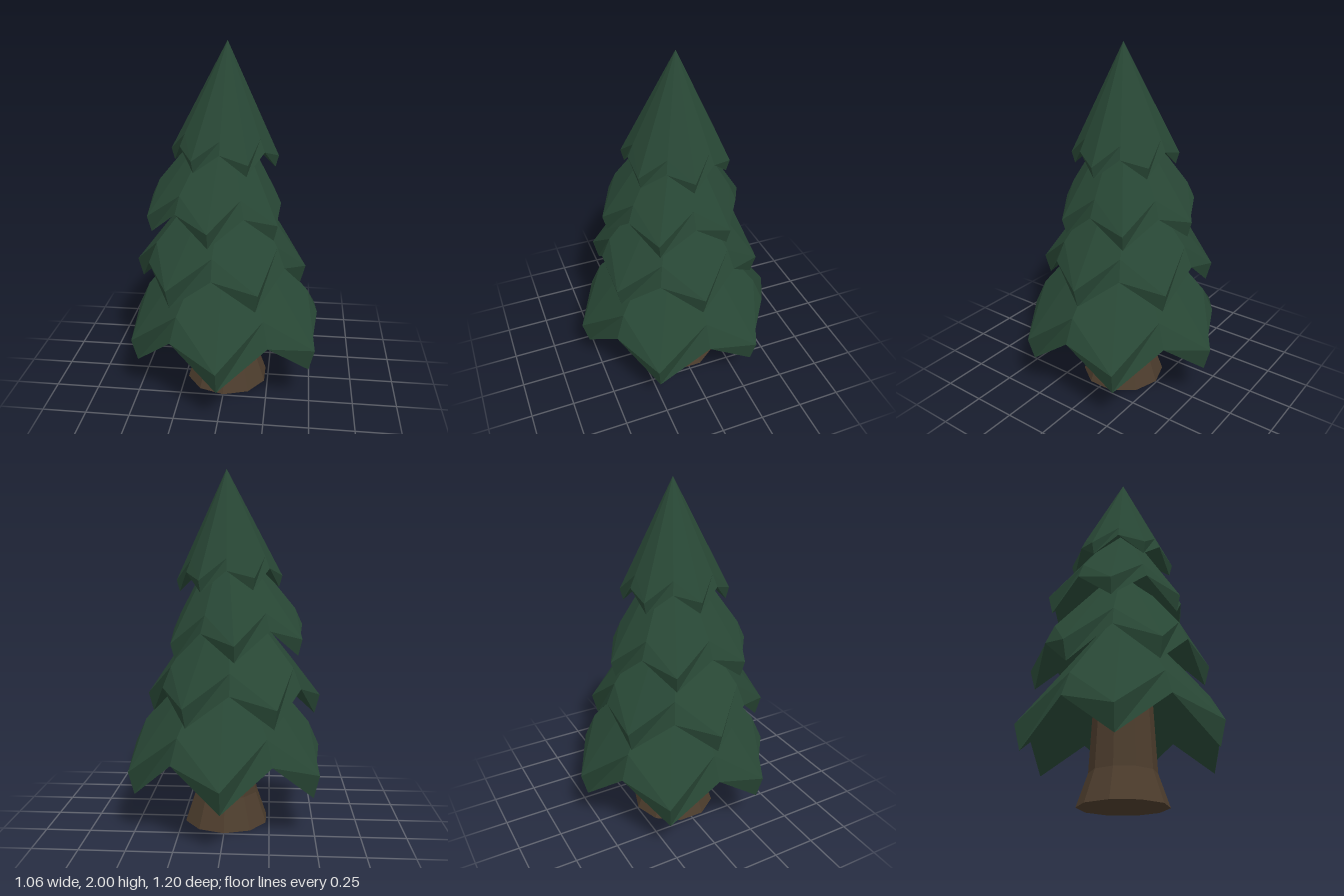
import * as THREE from 'three';

const needles = new THREE.MeshStandardMaterial({ color: 0x284735, flatShading: true });
needles.name = 'pine green';
const bark = new THREE.MeshStandardMaterial({ color: 0x4d3d2d, flatShading: true });
bark.name = 'bark brown';

// One skirt of branches: six drooping tips with notches between them.
// size scales the hem, tipY is the lowest point, lean shears the hem sideways.
function tierGeometry({ size, tipY, apexY, centerX, lean, turn }) {
  const at = (radius, rise, i) => {
    const a = turn + i * Math.PI / 6;
    const x = radius * size * Math.cos(a);
    return [centerX + x, tipY + rise * size - lean * x, radius * size * Math.sin(a)];
  };
  const upper = (i) => (i % 2 ? at(0.47, 0.355, i) : at(0.6, 0.13, i));
  const lower = (i) => (i % 2 ? at(0.53, 0.22, i) : at(0.565, 0, i));
  const apex = [0, apexY, 0];
  const hollow = [centerX, tipY + 0.52 * size, 0];
  const points = [];
  for (let i = 0; i < 12; i++) {
    const j = i + 1;
    points.push(
      ...apex, ...upper(j), ...upper(i), // sloping top
      ...upper(i), ...upper(j), ...lower(j), // hem band
      ...upper(i), ...lower(j), ...lower(i),
      ...lower(i), ...lower(j), ...hollow // hollow underside
    );
  }
  const geometry = new THREE.BufferGeometry();
  geometry.setAttribute('position', new THREE.Float32BufferAttribute(points, 3));
  geometry.computeVertexNormals();
  return geometry;
}

export function createModel() {
  const tree = new THREE.Group();
  tree.name = 'pineTree';

  const add = (name, geometry, material, y = 0) => {
    const mesh = new THREE.Mesh(geometry, material);
    mesh.name = name;
    mesh.position.y = y;
    tree.add(mesh);
  };

  // Trunk with a flared foot
  add('trunkFoot', new THREE.CylinderGeometry(0.182, 0.243, 0.175, 10, 1), bark, 0.0875);
  add('trunk', new THREE.CylinderGeometry(0.15, 0.182, 0.6, 10, 1), bark, 0.475);

  // Foliage, bottom to top, each skirt turned half a step from the last
  const tiers = [
    { name: 'bottomBranches', size: 1, tipY: 0.23, apexY: 1.14, centerX: 0, lean: 0 },
    { name: 'lowerBranches', size: 0.82, tipY: 0.635, apexY: 1.41, centerX: -0.04, lean: 0 },
    { name: 'upperBranches', size: 0.685, tipY: 0.98, apexY: 1.7, centerX: -0.063, lean: 0.04 },
    { name: 'topBranches', size: 0.495, tipY: 1.34, apexY: 2, centerX: -0.015, lean: 0.045 },
  ];
  tiers.forEach((tier, i) => {
    const turn = i % 2 ? 0 : Math.PI / 6;
    add(tier.name, tierGeometry({ ...tier, turn }), needles);
  });

  return tree;
}
